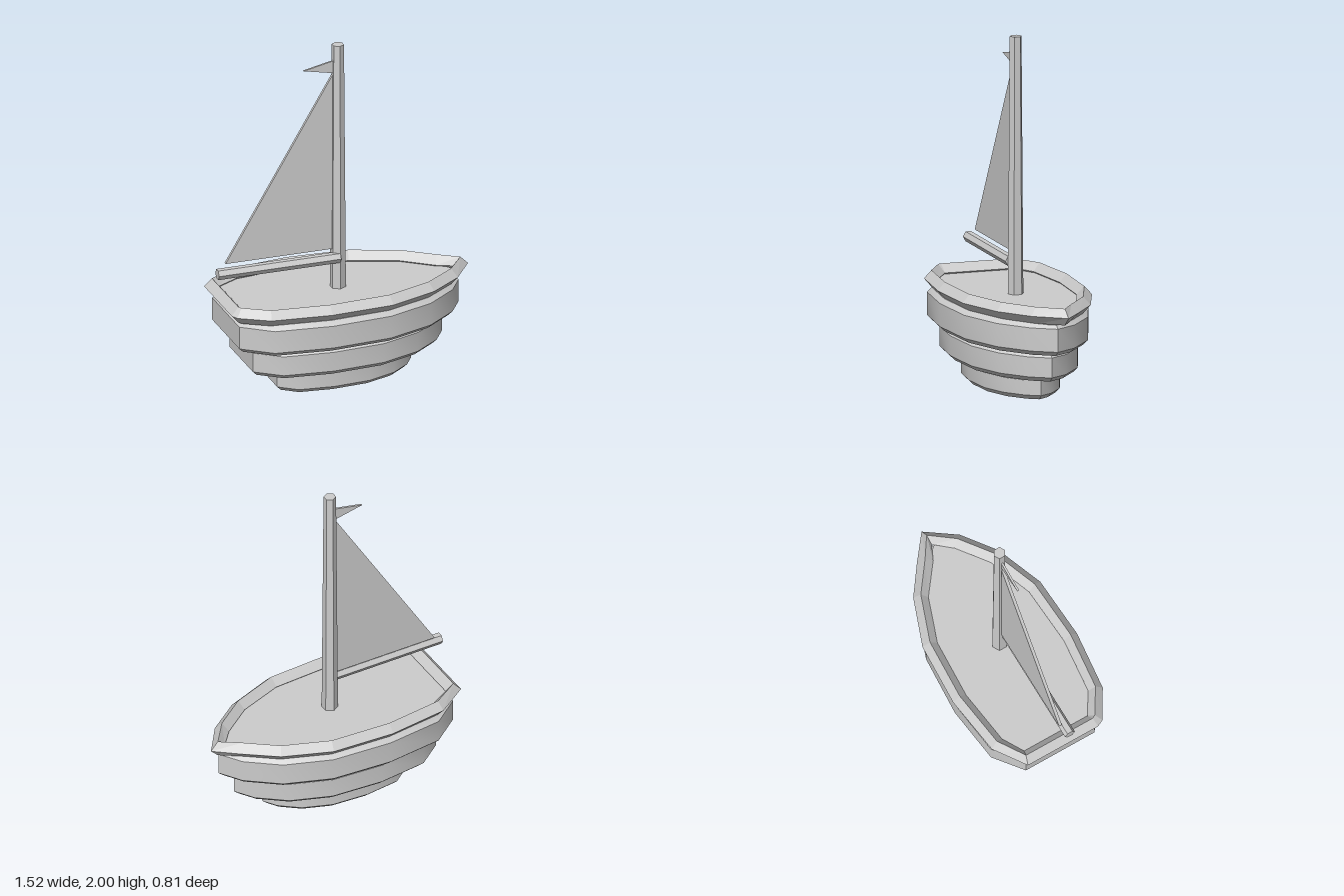
import * as THREE from 'three';
import { toCreasedNormals } from 'three/addons/utils/BufferGeometryUtils.js';

// Half outline of the hull from stern to bow, in units of half length and half width
const HALF = [[-1, 0.57], [-0.76, 0.9], [-0.28, 1], [0.23, 0.94], [0.62, 0.69], [0.88, 0.33], [1, 0]];

function outline(cx, halfLength, halfWidth) {
  const side = HALF.map(([u, v]) => [cx + u * halfLength, v * halfWidth]);
  const other = side.slice(0, -1).reverse().map(([x, z]) => [x, -z]);
  return new THREE.Shape([...side, ...other].map(([x, z]) => new THREE.Vector2(x, z)));
}

// Bevelled slab of the hull outline lying between two heights
function slab(shape, y0, y1, bevel) {
  const geo = new THREE.ExtrudeGeometry(shape, {
    depth: y1 - y0 - 2 * bevel, bevelEnabled: bevel > 0, bevelSegments: 1,
    bevelThickness: bevel, bevelSize: bevel, bevelOffset: -bevel,
  });
  geo.rotateX(Math.PI / 2);
  geo.translate(0, y1 - bevel, 0);
  return toCreasedNormals(geo, 0.7);
}

// Closed rail with a diamond section between an outer and an inner edge
function railGeometry(rings, yLow, yMid, yHigh) {
  const loops = rings.map(([ox, oz, ix, iz]) => {
    const mx = (ox + ix) / 2, mz = (oz + iz) / 2;
    return [[ox, yMid, oz], [mx, yHigh, mz], [ix, yMid, iz], [mx, yLow, mz]];
  });
  const pos = [];
  loops.forEach((a, i) => {
    const b = loops[(i + 1) % loops.length];
    for (let k = 0; k < 4; k++) {
      const n = (k + 1) % 4;
      pos.push(...a[k], ...b[k], ...b[n], ...a[k], ...b[n], ...a[n]);
    }
  });
  const geo = new THREE.BufferGeometry();
  geo.setAttribute('position', new THREE.Float32BufferAttribute(pos, 3));
  geo.computeVertexNormals();
  return geo;
}

// Thin triangular cloth in the xy plane
function cloth(points, thickness) {
  const shape = new THREE.Shape(points.map(([x, y]) => new THREE.Vector2(x, y)));
  const geo = new THREE.ExtrudeGeometry(shape, { depth: thickness, bevelEnabled: false });
  return geo.translate(0, 0, -thickness / 2);
}

export function createModel() {
  const group = new THREE.Group();
  const grey = new THREE.MeshStandardMaterial({ color: 0xcccccc });
  grey.name = 'light grey';
  const add = (name, geo) => {
    const mesh = new THREE.Mesh(geo, grey);
    mesh.name = name;
    group.add(mesh);
    return mesh;
  };

  // Stepped hull: centre x, half length, half width, bottom, top
  [
    ['lowerHull', -0.022, 0.423, 0.24, 0.005, 0.142],
    ['middleHull', -0.012, 0.597, 0.335, 0.142, 0.308],
    ['upperHull', -0.008, 0.693, 0.39, 0.308, 0.492],
  ].forEach(([name, cx, hl, hw, y0, y1]) => add(name, slab(outline(cx, hl, hw), y0, y1, 0.026)));

  // Deck inside the rail
  add('deck', slab(outline(-0.01, 0.675, 0.345), 0.485, 0.53, 0));

  // Rail rings: outer x, z and inner x, z, running round the bow
  add('rail', railGeometry([
    [-0.725, 0.26, -0.66, 0.2], [-0.56, 0.36, -0.535, 0.28], [-0.21, 0.4, -0.21, 0.315],
    [0.16, 0.38, 0.14, 0.295], [0.44, 0.275, 0.4, 0.2], [0.63, 0.135, 0.575, 0.07],
    [0.755, -0.04, 0.66, -0.03], [0.61, -0.155, 0.575, -0.07], [0.44, -0.28, 0.4, -0.205],
    [0.16, -0.385, 0.14, -0.3], [-0.21, -0.405, -0.21, -0.32], [-0.56, -0.36, -0.535, -0.28],
    [-0.745, -0.235, -0.66, -0.21], [-0.745, 0.22, -0.66, 0.2],
  ], 0.49, 0.538, 0.585));

  // Mast and boom, both six sided
  const mast = new THREE.CylinderGeometry(0.035, 0.046, 1.5, 6).toNonIndexed();
  mast.computeVertexNormals();
  add('mast', mast).position.set(-0.034, 1.25, 0);

  const boom = new THREE.CylinderGeometry(0.032, 0.032, 0.727, 6).toNonIndexed();
  boom.computeVertexNormals();
  boom.rotateZ(Math.PI / 2);
  add('boom', boom).position.set(-0.398, 0.717, 0.028);

  // Sail and pennant
  add('sail', cloth([[-0.705, 0.765], [-0.07, 0.765], [-0.07, 1.82]], 0.018));
  add('pennant', cloth([[-0.24, 1.868], [-0.05, 1.828], [-0.05, 1.908]], 0.012));

  return group;
}
